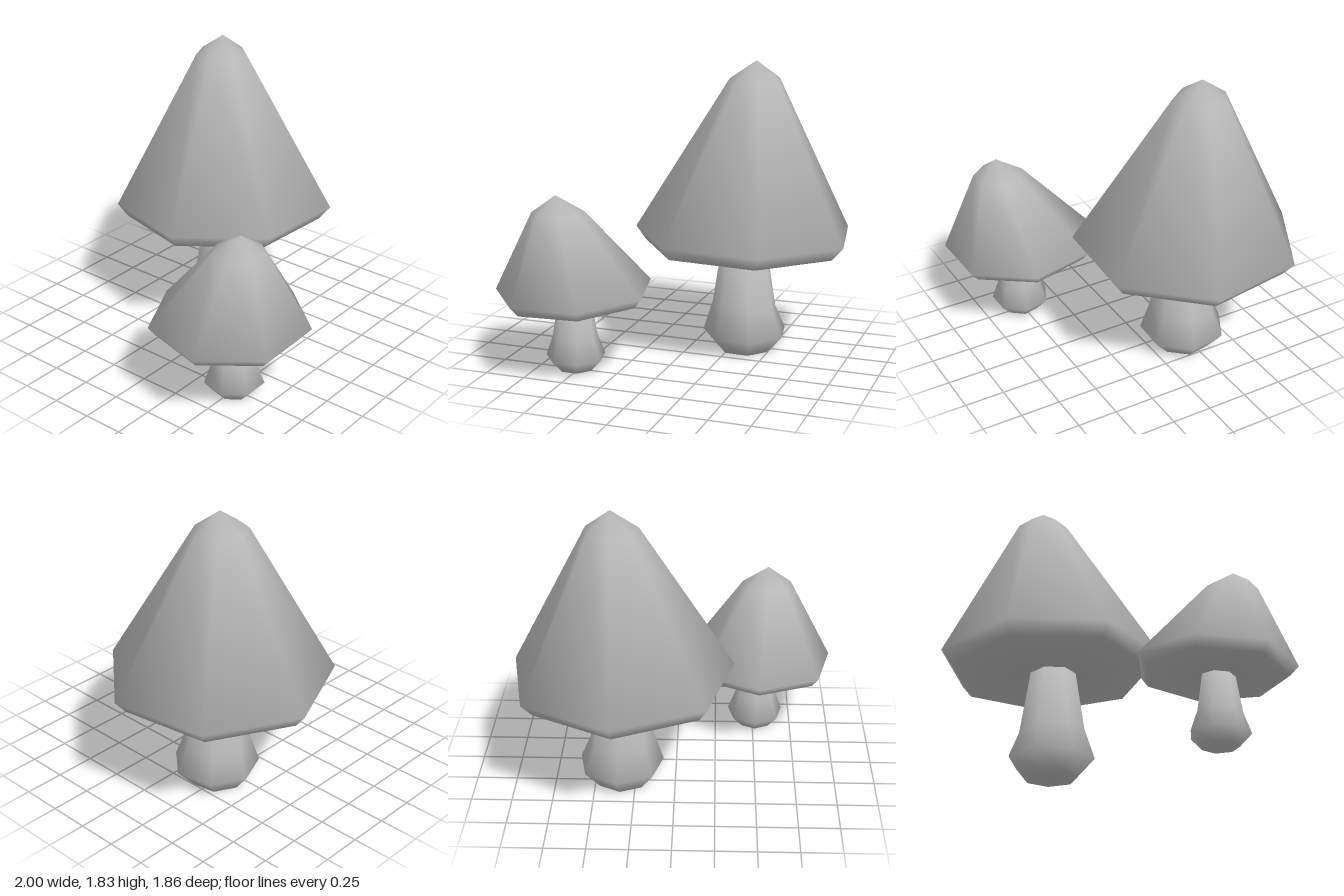
import * as THREE from 'three';

const SIDES = 7;
const clay = new THREE.MeshStandardMaterial({ color: 0xb8b8b8 });
clay.name = 'grey';

// Smooth normals weighted by corner angle, so narrow bevels count as much as broad faces
function smoothNormals(geo) {
  const pos = geo.attributes.position, index = geo.index.array;
  const sums = Array.from({ length: pos.count }, () => new THREE.Vector3());
  const points = sums.map((_, i) => new THREE.Vector3().fromBufferAttribute(pos, i));
  for (let i = 0; i < index.length; i += 3) {
    const tri = [index[i], index[i + 1], index[i + 2]];
    const [a, b, c] = tri.map(v => points[v]);
    const normal = b.clone().sub(a).cross(c.clone().sub(a)).normalize();
    tri.forEach((v, k) => {
      const u = points[tri[(k + 1) % 3]].clone().sub(points[v]);
      const w = points[tri[(k + 2) % 3]].clone().sub(points[v]);
      sums[v].addScaledVector(normal, u.angleTo(w));
    });
  }
  geo.setAttribute('normal', new THREE.Float32BufferAttribute(
    sums.flatMap(n => n.normalize().toArray()), 3));
}

// Closed loft through tilted seven-sided rings, listed bottom to top.
// Ring: [x, y, z, radius, slope along x, slope along z]; top and bottom are end points.
function loft(name, bottom, rings, top, turn) {
  const verts = [...bottom], faces = [];
  for (const [x, y, z, r, sx = 0, sz = 0] of rings) {
    for (let i = 0; i < SIDES; i++) {
      const a = turn + (i / SIDES) * Math.PI * 2;
      const dx = r * Math.cos(a), dz = r * Math.sin(a);
      verts.push(x + dx, y + sx * dx + sz * dz, z + dz);
    }
  }
  verts.push(...top);
  const last = verts.length / 3 - 1;
  for (let i = 0; i < SIDES; i++) {
    const j = (i + 1) % SIDES;
    faces.push(0, 1 + i, 1 + j);
    for (let k = 0; k < rings.length - 1; k++) {
      const lo = 1 + k * SIDES, hi = lo + SIDES;
      faces.push(lo + i, hi + i, hi + j, lo + i, hi + j, lo + j);
    }
    faces.push(last - SIDES + i, last, last - SIDES + j);
  }
  const geo = new THREE.BufferGeometry();
  geo.setAttribute('position', new THREE.Float32BufferAttribute(verts, 3));
  geo.setIndex(faces);
  smoothNormals(geo);
  const mesh = new THREE.Mesh(geo, clay);
  mesh.name = name;
  return mesh;
}

function mushroom(name, ...parts) {
  const group = new THREE.Group();
  group.name = name;
  group.add(...parts);
  return group;
}

export function createModel() {
  const model = new THREE.Group();
  model.name = 'mushrooms';
  const bigTurn = THREE.MathUtils.degToRad(-87.3), smallTurn = -Math.PI / 2;

  model.add(mushroom('largeMushroom',
    loft('largeCap', [0.32, 0.676, -0.235], [
      [0.32, 0.676, -0.235, 0.63, -0.012, 0.022],
      [0.327, 0.76, -0.237, 0.697, -0.012, 0.018],
      [0.365, 1.718, -0.293, 0.16],
    ], [0.372, 1.832, -0.29], bigTurn),
    loft('largeStem', [0.335, 0, -0.225], [
      [0.335, 0, -0.225, 0.168],
      [0.34, 0.115, -0.217, 0.268],
      [0.335, 0.285, -0.22, 0.205, -0.08, 0.08],
      [0.33, 0.70, -0.218, 0.14],
    ], [0.33, 0.70, -0.218], bigTurn)));

  model.add(mushroom('smallMushroom',
    loft('smallCap', [-0.525, 0.445, 0.48], [
      [-0.525, 0.445, 0.48, 0.437, 0.03, -0.03],
      [-0.527, 0.503, 0.485, 0.485, 0.027, -0.027],
      [-0.575, 0.995, 0.59, 0.16],
    ], [-0.583, 1.105, 0.603], smallTurn),
    loft('smallStem', [-0.515, 0.01, 0.505], [
      [-0.515, 0.01, 0.505, 0.112],
      [-0.513, 0.088, 0.508, 0.184],
      [-0.516, 0.215, 0.507, 0.138],
      [-0.515, 0.46, 0.508, 0.1],
    ], [-0.515, 0.46, 0.508], smallTurn)));

  return model;
}
